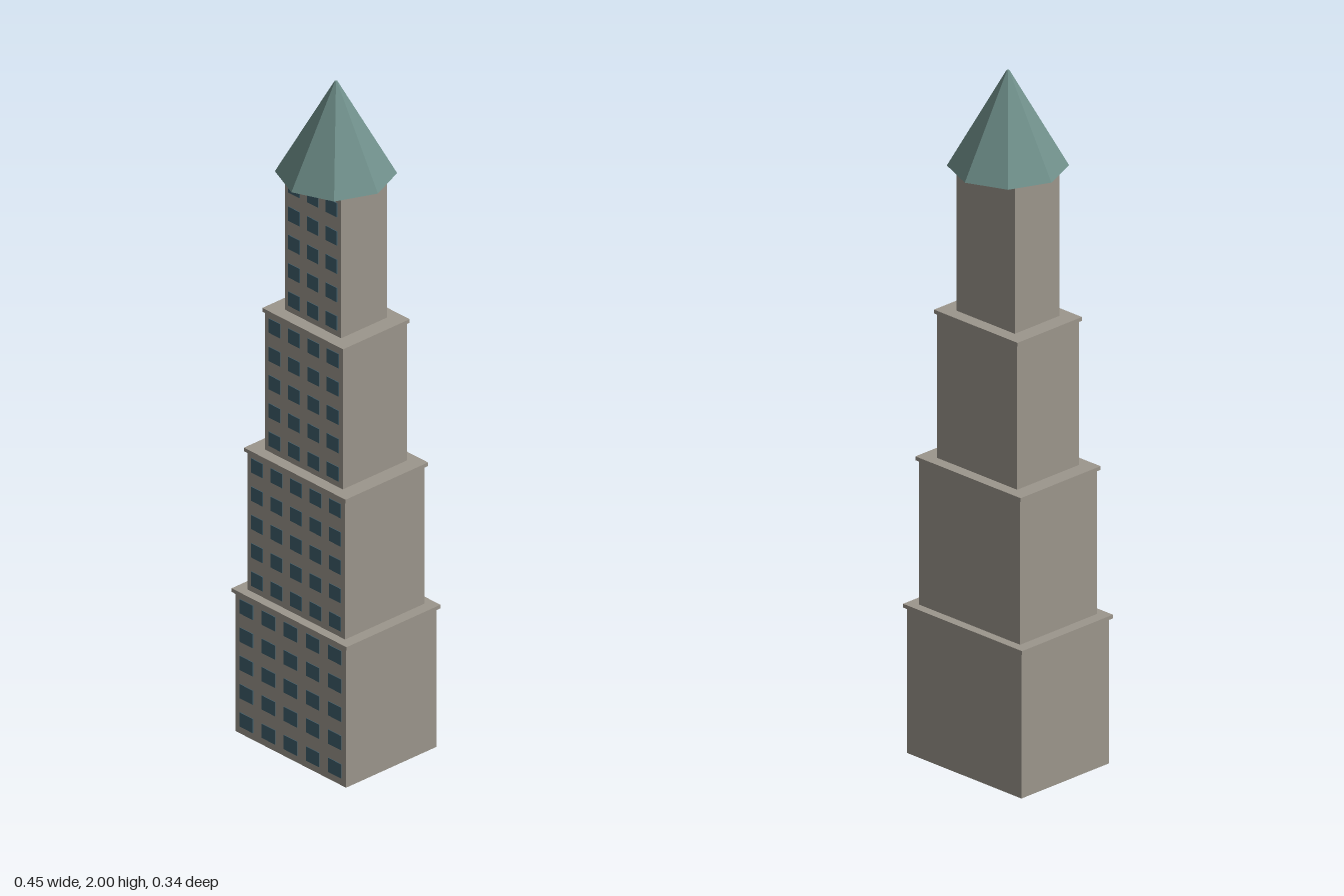
import * as THREE from 'three';

const TIER_H = 0.43, ROWS = 5, SLAB_H = 0.011;

// width, depth and window columns of each stepped block, bottom to top
const TIERS = [
  { w: 0.43, d: 0.33, cols: 5 },
  { w: 0.38, d: 0.29, cols: 5 },
  { w: 0.302, d: 0.234, cols: 4 },
  { w: 0.218, d: 0.168, cols: 3 },
];

function material(color) {
  return new THREE.MeshStandardMaterial({ color, flatShading: true });
}

function add(parent, name, geometry, mat, x, y, z) {
  const mesh = new THREE.Mesh(geometry, mat);
  mesh.name = name;
  mesh.position.set(x, y, z);
  parent.add(mesh);
}

export function createModel() {
  const model = new THREE.Group();
  model.name = 'steppedTower';
  const stone = material(0x9c968c);
  const glass = material(0x3f5d6b);
  const copper = material(0x6f8f8a);

  TIERS.forEach(({ w, d, cols }, i) => {
    const tier = new THREE.Group();
    tier.name = `tier${i + 1}`;
    tier.position.y = i * TIER_H;
    model.add(tier);

    // block and the thin ledge capping it
    add(tier, 'block', new THREE.BoxGeometry(w, TIER_H, d), stone, 0, TIER_H / 2, 0);
    add(tier, 'ledge', new THREE.BoxGeometry(w * 1.04, SLAB_H, d * 1.04), stone,
      0, TIER_H + 0.003 - SLAB_H / 2, 0);

    // window grid on the front only
    const stepX = w / cols, stepY = TIER_H / ROWS;
    const pane = new THREE.BoxGeometry(stepX * 0.6, stepY * 0.5, 0.004);
    for (let r = 0; r < ROWS; r++) {
      for (let c = 0; c < cols; c++) {
        add(tier, 'window', pane, glass,
          (c + 0.5) * stepX - w / 2, (r + 0.5) * stepY, d / 2);
      }
    }
  });

  // eight-sided spire roof with a tiny flat tip
  const base = TIERS.length * TIER_H + 0.003;
  const roofH = 2 - base;
  add(model, 'spireRoof', new THREE.CylinderGeometry(0.004, 0.163, roofH, 8), copper,
    0, base + roofH / 2, 0);

  return model;
}
